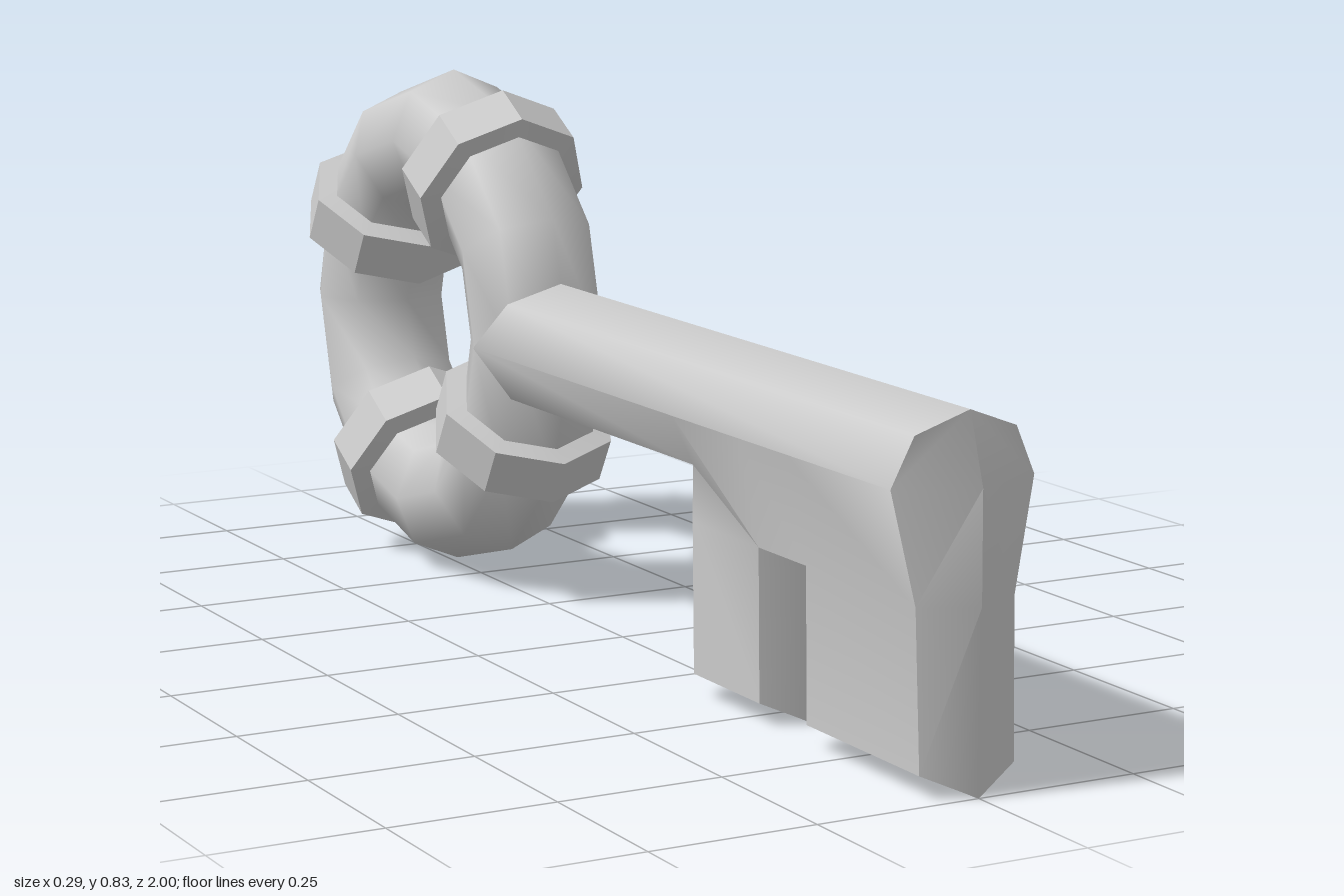
import * as THREE from 'three';
import { toCreasedNormals } from 'three/addons/utils/BufferGeometryUtils.js';

const material = new THREE.MeshStandardMaterial({ color: 0xcccccc });
const CENTER_Y = 0.42, RING_Z = -0.59, REAR = -0.29;

function addMesh(parent, name, geometry) {
  const mesh = new THREE.Mesh(geometry, material);
  mesh.name = name;
  parent.add(mesh);
  return mesh;
}

// Octagonal shaft and notched bit as one skin: flat sides, with every edge
// running out to a ridge on the x = 0 plane. The +x half is mirrored.
function bodyGeometry() {
  const pos = [];
  const face = (...p) => { // convex polygon as a fan, plus its mirror image
    for (let i = 1; i < p.length - 1; i++) {
      const [a, b, c] = [p[0], p[i], p[i + 1]];
      pos.push(...a, ...b, ...c);
      for (const [x, y, z] of [c, b, a]) pos.push(-x, y, z);
    }
  };
  const P = (x, y, z) => [x, y, z];

  // Outline of the side faces, from the rear along the underside to the front top
  const side = [
    P(0.078, 0.345, REAR), P(0.078, 0.345, 0.36), P(0.078, 0.26, 0.36), P(0.075, 0.033, 0.36),
    P(0.075, 0.033, 0.55), P(0.078, 0.26, 0.55), P(0.078, 0.26, 0.68), P(0.075, 0.033, 0.68),
    P(0.075, 0.033, 0.97), P(0.078, 0.26, 0.96), P(0.113, 0.42, 0.95), P(0.08, 0.49, 0.955),
  ];
  // Matching ridge on the middle plane
  const ridge = [
    P(0, 0.312, REAR), P(0, 0.318, 0.335), P(0, 0.26, 0.335), P(0, 0, 0.335),
    P(0, 0, 0.572), P(0, 0.23, 0.572), P(0, 0.23, 0.658), P(0, 0, 0.658),
    P(0, 0, 1), P(0, 0.26, 1), P(0, 0.42, 0.998), P(0, 0.52, 0.965),
  ];
  for (let i = 0; i < side.length - 1; i++) face(side[i], side[i + 1], ridge[i + 1], ridge[i]);

  // Widest line and top of the shaft
  const wide = z => P(0.113, 0.42, z);
  const [s0, s1, s2, s3, s4, s5, s6, s7, s8, s9, s10, s11] = side;
  const shoulderRear = P(0.08, 0.497, REAR), topRear = P(0, 0.527, REAR);
  face(s1, s0, wide(REAR), wide(0.36));
  face(s10, wide(REAR), shoulderRear, s11);
  face(s11, shoulderRear, topRear, ridge[11]);

  // Upper part of the bit, then the two teeth
  face(s5, s2, s1, wide(0.36), wide(0.55));
  face(s6, s5, wide(0.55), wide(0.68));
  face(s9, s6, wide(0.68), s10);
  face(s4, s3, s2, s5);
  face(s8, s7, s6, s9);

  const g = new THREE.BufferGeometry();
  g.setAttribute('position', new THREE.Float32BufferAttribute(pos, 3));
  return toCreasedNormals(g, THREE.MathUtils.degToRad(50));
}

export function createModel() {
  const key = new THREE.Group();
  key.name = 'key';

  addMesh(key, 'shaftAndBit', bodyGeometry());

  // Ring handle
  const ring = addMesh(key, 'ringHandle', new THREE.TorusGeometry(0.3, 0.112, 8, 12));
  ring.rotation.y = Math.PI / 2;
  ring.position.set(0, CENTER_Y, RING_Z);

  // Four octagonal bands around the ring
  const profile = [[0.09, -0.048], [0.146, -0.04], [0.146, 0.04], [0.09, 0.048]]
    .map(([r, h]) => new THREE.Vector2(r, h));
  const bandGeometry = toCreasedNormals(new THREE.LatheGeometry(profile, 8), 0.5);
  for (let i = 0; i < 4; i++) {
    const a = Math.PI / 6 + i * Math.PI / 2;
    const band = addMesh(key, 'band' + (i + 1), bandGeometry);
    band.position.set(0, CENTER_Y + 0.286 * Math.sin(a), RING_Z - 0.286 * Math.cos(a));
    band.rotation.x = a;
  }
  return key;
}
